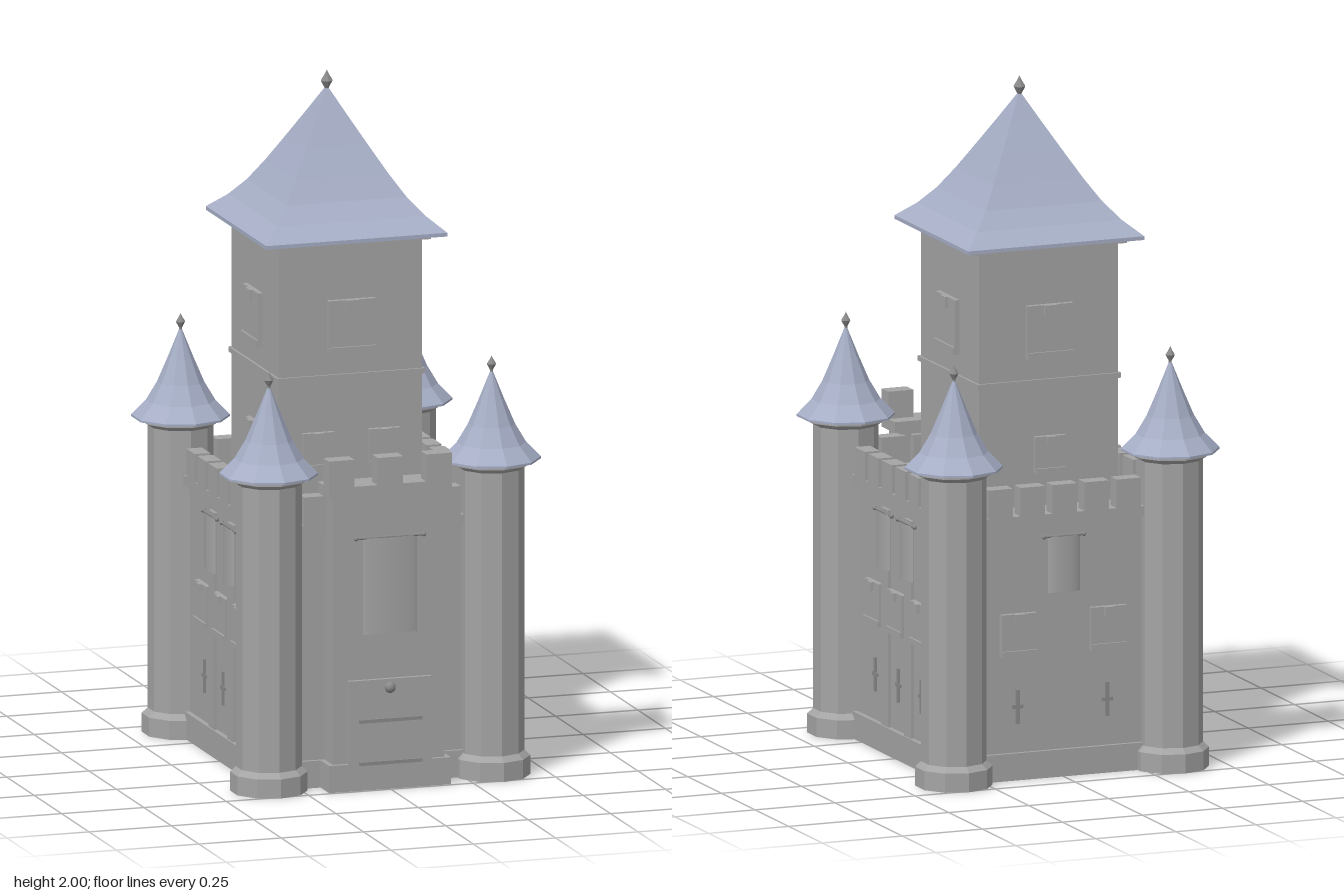
import * as THREE from 'three';

const stone = new THREE.MeshStandardMaterial({ color: 0xa4a4a4 });
const slate = new THREE.MeshStandardMaterial({ color: 0xa6aec6 });
const iron = new THREE.MeshStandardMaterial({ color: 0x8a8a8a });
const cloth = new THREE.MeshStandardMaterial({ color: 0xa4a4a4, side: THREE.DoubleSide });

// Faceted copy of a geometry
function flat(geo) {
  const g = geo.index ? geo.toNonIndexed() : geo;
  g.computeVertexNormals();
  return g;
}

function add(parent, name, geo, mat, x = 0, y = 0, z = 0) {
  const m = new THREE.Mesh(geo, mat);
  m.name = name;
  m.position.set(x, y, z);
  parent.add(m);
  return m;
}

// Box given by its centre in x and z and its bottom and top heights
function block(parent, name, w, y0, y1, d, x = 0, z = 0, mat = stone) {
  return add(parent, name, new THREE.BoxGeometry(w, y1 - y0, d), mat, x, (y0 + y1) / 2, z);
}

function lathe(points, sides) {
  return flat(new THREE.LatheGeometry(points.map(p => new THREE.Vector2(...p)), sides));
}

// Wall group: local z = 0 is the wall surface, facing outwards
function wall(parent, name, turn, dist) {
  const g = new THREE.Group();
  g.name = name;
  g.rotation.y = turn;
  g.position.set(Math.sin(turn) * dist, 0, Math.cos(turn) * dist);
  parent.add(g);
  return g;
}

// Window surround with keystone and sill
function windowFrame(parent, x, y0, w, h) {
  const g = new THREE.Group();
  g.name = 'window';
  g.position.set(x, y0, 0);
  parent.add(g);
  block(g, 'windowSurround', w, 0, h, 0.03);
  block(g, 'keystone', w * 0.28, h * 0.8, h, 0.048);
  block(g, 'windowSill', w, 0, h * 0.14, 0.042);
}

// Bowed cloth hanging from a rod
function banner(parent, x, y0, y1, w, z) {
  const c = new THREE.CylinderGeometry(1, 1, y1 - y0, 10, 1, true, -Math.PI / 3, Math.PI * 2 / 3);
  c.translate(0, 0, -0.5);
  c.scale(w / 2 / Math.sin(Math.PI / 3), 1, 0.02);
  add(parent, 'banner', c, cloth, x, (y0 + y1) / 2, z);
  const r = new THREE.CylinderGeometry(0.004, 0.004, w * 1.25, 8).rotateZ(Math.PI / 2);
  add(parent, 'bannerRod', r, iron, x, y1, z);
  for (const s of [-1, 1]) {
    add(parent, 'rodKnob', new THREE.SphereGeometry(0.007, 8, 6), iron, x + s * w * 0.625, y1, z);
  }
}

function arrowSlit(parent, x) {
  block(parent, 'arrowSlit', 0.011, 0.165, 0.265, 0.012, x, 0, iron);
  block(parent, 'arrowSlitArm', 0.034, 0.21, 0.221, 0.012, x, 0, iron);
}

// Merlons, corbels along one side of the main walls
function battlements(parent, xs, span) {
  for (const x of xs) block(parent, 'merlon', 0.076, 0.775, 0.862, 0.047, x, -0.0055);
  const n = Math.round(span / 0.058);
  for (let i = 0; i < n; i++) {
    block(parent, 'corbel', 0.028, 0.725, 0.75, 0.03, (i - (n - 1) / 2) * 0.058, -0.018);
  }
}

function finial(parent, y, s) {
  const p = [[0, 0], [0.006, 0.002], [0.006, 0.012], [0.018, 0.034], [0.008, 0.05], [0, 0.066]];
  add(parent, 'finial', lathe(p.map(q => [q[0] * s, q[1] * s]), 8), iron, 0, y, 0);
}

function cornerTower(parent, x, z) {
  const g = new THREE.Group();
  g.name = 'cornerTower';
  g.position.set(x, 0, z);
  parent.add(g);
  add(g, 'towerBase', lathe([[0, 0], [0.112, 0], [0.112, 0.056], [0.095, 0.072], [0, 0.072]], 10), stone);
  add(g, 'towerShaft', flat(new THREE.CylinderGeometry(0.095, 0.095, 0.86, 10)), stone, 0, 0.49, 0);
  add(g, 'towerCapital', lathe([[0.095, 0.908], [0.118, 0.922], [0.118, 0.936], [0, 0.936]], 10), stone);
  add(g, 'towerRoof', lathe([[0, 0.932], [0.142, 0.932], [0.142, 0.938], [0.1, 0.981],
    [0.068, 1.035], [0.036, 1.11], [0.016, 1.16], [0, 1.2]], 10), slate);
  finial(g, 1.185, 0.78);
}

export function createModel() {
  const castle = new THREE.Group();
  castle.name = 'castle';

  // Main walls
  block(castle, 'plinth', 0.71, 0, 0.08, 0.83);
  block(castle, 'mainWalls', 0.68, 0.08, 0.75, 0.806);
  block(castle, 'wallWalk', 0.716, 0.748, 0.778, 0.846);

  // Long side walls
  for (const s of [-1, 1]) {
    const top = wall(castle, 'sideParapet', s * Math.PI / 2, 0.34);
    battlements(top, [-0.25, -0.15, -0.05, 0.05, 0.15, 0.25], 0.64);
    const side = wall(castle, 'sideWall', s * Math.PI / 2, 0.34);
    for (const u of [-0.17, 0, 0.17]) {
      windowFrame(side, u, 0.365, 0.11, 0.125);
      arrowSlit(side, u);
    }
    for (const u of [-0.085, 0.085]) {
      block(side, 'pilaster', 0.052, 0.08, 0.72, 0.02, u);
      banner(side, u, 0.545, 0.71, 0.1, 0.014);
    }
  }

  // Front and back walls
  for (const turn of [0, Math.PI]) {
    battlements(wall(castle, 'endParapet', turn, 0.405), [-0.2, -0.1, 0, 0.1, 0.2], 0.52);
  }
  const back = wall(castle, 'backWall', Math.PI, 0.403);
  for (const u of [-0.14, 0.14]) {
    windowFrame(back, u, 0.365, 0.11, 0.125);
    arrowSlit(back, u);
  }
  banner(back, 0, 0.545, 0.71, 0.1, 0.014);

  // Corner towers
  for (const x of [-0.338, 0.338]) for (const z of [-0.402, 0.402]) cornerTower(castle, x, z);

  // Gatehouse
  const gate = wall(castle, 'gatehouse', 0, 0.48);
  block(gate, 'gatehouseWall', 0.34, 0, 0.87, 0.085, 0, -0.0425);
  block(gate, 'gatehouseTop', 0.374, 0.868, 0.9, 0.1, 0, -0.035);
  for (const x of [-0.148, 0, 0.148]) block(gate, 'gateMerlon', 0.078, 0.9, 0.98, 0.05, x, -0.01);
  for (const s of [-1, 1]) {
    block(gate, 'gatePlinth', 0.06, 0, 0.08, 0.095, s * 0.155, -0.035);
    // Door leaves, with a fine joint between them
    block(gate, 'doorLeaf', 0.125, 0, 0.325, 0.026, s * 0.0635, 0);
  }
  for (const y of [0.08, 0.205]) block(gate, 'doorBar', 0.19, y - 0.005, y + 0.005, 0.01, 0, 0.016, iron);
  add(gate, 'doorBoss', new THREE.SphereGeometry(0.017, 10, 8), iron, 0, 0.3, 0.012);
  banner(gate, 0, 0.46, 0.745, 0.165, 0.012);

  // Keep
  const keep = new THREE.Group();
  keep.name = 'keep';
  keep.position.z = -0.085;
  castle.add(keep);
  block(keep, 'keepWalls', 0.434, 0.77, 1.54, 0.434);
  block(keep, 'keepBand', 0.448, 1.135, 1.15, 0.448);
  block(keep, 'keepCornice', 0.474, 1.533, 1.55, 0.474);
  for (let i = 0; i < 4; i++) {
    const face = wall(keep, 'keepFace', i * Math.PI / 2, 0.217);
    windowFrame(face, 0, 1.21, 0.144, 0.16);
    const lower = i === 0 ? [-0.1, 0.1] : [0];
    for (const u of lower) windowFrame(face, u, 0.875, 0.094, 0.108);
  }

  // Keep roof, a flared square pyramid
  const profile = [[0, 1.546], [0.275, 1.546], [0.275, 1.557], [0.225, 1.6], [0.182, 1.65],
    [0.14, 1.714], [0.095, 1.79], [0.045, 1.876], [0, 1.955]];
  const roof = lathe(profile.map(p => [p[0] * Math.SQRT2, p[1]]), 4);
  add(keep, 'keepRoof', roof, slate).rotation.y = Math.PI / 4;
  finial(keep, 1.934, 1);

  return castle;
}
